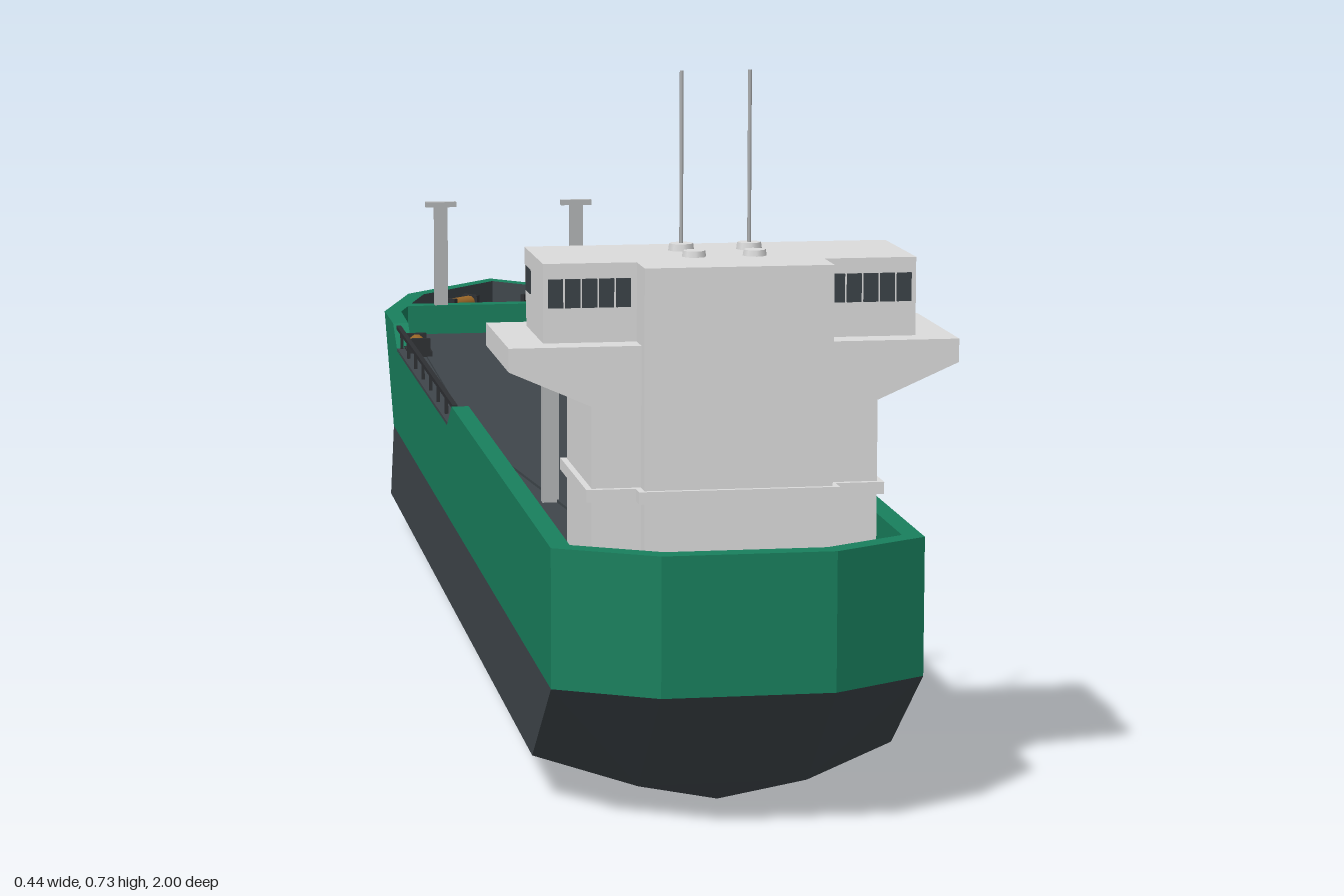
import * as THREE from 'three';

const mat = (name, color) => {
  const m = new THREE.MeshStandardMaterial({ color });
  m.name = name;
  return m;
};

export function createModel() {
  const ship = new THREE.Group();
  ship.name = 'cargoShip';
  const green = mat('hullGreen', 0x187f5d);
  const dark = mat('darkGrey', 0x3f464b);
  const white = mat('houseGrey', 0xdcdcdc);
  const glass = mat('windowDark', 0x3b4247);
  const orange = mat('winchOrange', 0x9c6828);
  const railMat = mat('railDark', 0x2e3033);
  const steel = mat('mastGrey', 0xb2b4b5);

  const add = (name, geo, m, x = 0, y = 0, z = 0, parent = ship) => {
    const mesh = new THREE.Mesh(geo, m);
    mesh.name = name;
    mesh.position.set(x, y, z);
    parent.add(mesh);
    return mesh;
  };
  // Box given by its limits on each axis
  const box = (name, m, x0, x1, y0, y1, z0, z1, parent) =>
    add(name, new THREE.BoxGeometry(x1 - x0, y1 - y0, z1 - z0), m,
      (x0 + x1) / 2, (y0 + y1) / 2, (z0 + z1) / 2, parent);

  // Skin over half cross-sections running stern to bow, mirrored in x
  const loft = (name, rows, m) => {
    const p = [];
    const tri = (a, b, c) => {
      p.push(...a, ...b, ...c);
      for (const [x, y, z] of [a, c, b]) p.push(-x, y, z);
    };
    for (let i = 0; i < rows.length - 1; i++)
      for (let j = 0; j < rows[i].length - 1; j++) {
        const [a, b, c, d] = [rows[i][j], rows[i + 1][j], rows[i + 1][j + 1], rows[i][j + 1]];
        tri(a, b, c);
        tri(a, c, d);
      }
    const g = new THREE.BufferGeometry();
    g.setAttribute('position', new THREE.Float32BufferAttribute(p, 3));
    g.computeVertexNormals();
    return add(name, g, m);
  };

  // Horizontal plate from half an outline of [x, z] points
  const plate = (name, half, y0, y1, m) => {
    const full = [...half, ...half.map(([x, z]) => [-x, z]).reverse()];
    const shape = new THREE.Shape(full.map(([x, z]) => new THREE.Vector2(x, -z)));
    const g = new THREE.ExtrudeGeometry(shape, { depth: y1 - y0, bevelEnabled: false });
    g.rotateX(-Math.PI / 2);
    return add(name, g, m, 0, y0, 0);
  };

  // Lower hull: keel, chine, shoulder and ridge of each section
  const section = (kY, kZ, cX, cY, cZ, tX, tY, tZ, rY = tY, rZ = tZ) =>
    [[0, kY, kZ], [cX, cY, cZ], [tX, tY, tZ], [0, rY, rZ]];
  loft('lowerHull', [
    section(0, 0.835, 0, 0.024, 0.865, 0, 0.145, 1),
    section(0, 0.835, 0.085, 0.024, 0.865, 0.085, 0.145, 1),
    section(0, 0.83, 0.183, 0.045, 0.81, 0.183, 0.145, 0.945),
    section(0, -0.65, 0.183, 0.045, -0.6, 0.183, 0.145, -0.555),
    section(0, -0.8, 0.115, 0.045, -0.8, 0.102, 0.145, -0.8),
    section(0.022, -0.9, 0.07, 0.048, -0.9, 0.06, 0.122, -0.9, 0.145, -0.905),
    section(0.038, -0.965, 0.038, 0.05, -0.973, 0.03, 0.1, -0.97, 0.106, -0.967),
    section(0.045, -1, 0.006, 0.05, -1, 0.005, 0.085, -1),
    section(0.045, -1, 0, 0.05, -1, 0, 0.085, -1),
  ], dark);

  // Upper hull stations: bottom x,z; top x,z,y; inner x,z
  const DECK = 0.243, FORE = 0.251, LIP = 0.255, TOP = 0.283;
  const stations = [
    [0, 1, 0, 1, TOP, 0, 0.98],
    [0.085, 1, 0.085, 1, TOP, 0.079, 0.98],
    [0.183, 0.945, 0.183, 0.945, TOP, 0.163, 0.933],
    [0.183, 0.12, 0.183, 0.12, TOP, 0.163, 0.12],
    [0.183, 0.075, 0.183, 0.075, LIP, 0.163, 0.075],
    [0.183, -0.505, 0.183, -0.505, LIP, 0.163, -0.505],
    [0.183, -0.55, 0.183, -0.555, TOP, 0.163, -0.555],
    [0.183, -0.555, 0.183, -0.67, TOP, 0.161, -0.664],
    [0.154, -0.641, 0.165, -0.73, TOP, 0.144, -0.723],
    [0.102, -0.8, 0.133, -0.838, TOP, 0.113, -0.828],
    [0, -0.905, 0, -0.98, TOP, 0, -0.952],
  ];
  loft('upperHull', stations.map(([bx, bz, tx, tz, y, ix, iz]) =>
    [[bx, 0.145, bz], [tx, y, tz], [ix, y, iz]]), green);
  const lining = (name, from, to, m) => loft(name, stations.slice(from, to)
    .map(([, , , , y, ix, iz]) => [[ix, y, iz], [ix, DECK, iz]]), m);
  lining('aftBulwarkInside', 0, 5, green);
  lining('sillInside', 4, 6, dark);
  lining('forwardBulwarkInside', 5, 9, green);
  lining('foredeckInside', 8, 11, dark);

  // Sunken deck, its raised cover, the foredeck and its wall
  const inner = stations.slice(1, -1).map(([, , , , , x, z]) => [x, z]);
  const bowPoint = [0.001, -0.951];
  plate('deck', [...inner, bowPoint], DECK - 0.006, DECK, dark);
  plate('foredeck', [...inner.slice(-2), bowPoint], DECK, FORE, dark);
  plate('deckCover', [[0.09, 0.76], [0.155, 0.13], [0.14, -0.7]], DECK, DECK + 0.003, dark);
  box('foredeckWall', green, -0.15, 0.15, DECK, TOP, -0.737, -0.715);
  box('foredeckWallLining', dark, -0.143, 0.143, DECK, 0.281, -0.74, -0.737);

  // Low side sills and rails
  for (const s of [-1, 1]) {
    const rail = new THREE.Group();
    rail.name = 'sideRail';
    ship.add(rail);
    const x = s * 0.177;
    box('sideSill', dark, s * 0.173 - 0.01, s * 0.173 + 0.01, LIP - 0.002, LIP + 0.002, -0.505, 0.075, rail);
    box('handrail', railMat, x - 0.003, x + 0.003, 0.277, 0.282, -0.54, 0.105, rail);
    for (let i = 0; i < 7; i++) {
      const z = 0.015 - i * 0.086;
      box('railPost', railMat, x - 0.002, x + 0.002, LIP, 0.278, z - 0.0015, z + 0.0015, rail);
    }
  }

  // Flat masts with crossbars
  for (const [x, z, top] of [[-0.122, 0.508, 0.4], [0.122, 0.508, 0.4], [-0.1, -0.722, 0.425], [0.087, -0.722, 0.425]]) {
    box('mast', steel, x - 0.009, x + 0.009, DECK, top, z - 0.005, z + 0.005);
    box('mastCrossbar', steel, x - 0.021, x + 0.021, top - 0.007, top, z - 0.005, z + 0.005);
  }

  // Winches: x, deck height, z, turn
  for (const [x, y, z, turn] of [[0, FORE, -0.785, 0], [-0.058, FORE, -0.857, 0.75],
    [0.058, FORE, -0.857, -0.75], [-0.157, LIP - 0.003, -0.486, Math.PI / 2]]) {
    const winch = new THREE.Group();
    winch.name = 'winch';
    winch.position.set(x, y, z);
    winch.rotation.y = turn;
    ship.add(winch);
    box('winchBase', railMat, -0.027, 0.027, 0, 0.007, -0.016, 0.016, winch);
    const drum = add('winchDrum', new THREE.CylinderGeometry(0.01, 0.01, 0.044, 10), orange, 0, 0.013, 0, winch);
    drum.rotation.z = Math.PI / 2;
    for (const s of [-1, 1])
      box('winchCheek', railMat, s * 0.024 - 0.003, s * 0.024 + 0.003, 0, 0.024, -0.013, 0.013, winch);
  }

  // Deckhouse and stair tower
  box('deckhouse', white, -0.14, 0.14, DECK, 0.42, 0.757, 0.922);
  box('stairTower', white, -0.092, 0.092, DECK, 0.55, 0.8, 0.942);
  box('deckhouseBand', white, -0.146, 0.146, 0.323, 0.335, 0.751, 0.928);
  box('towerBand', white, -0.098, 0.098, 0.323, 0.335, 0.9, 0.947);

  // Bridge wings with sloping undersides
  const wing = new THREE.Shape([[-0.22, 0.473], [-0.22, 0.45], [-0.14, 0.415], [0.14, 0.415], [0.22, 0.45], [0.22, 0.473]]
    .map(([x, y]) => new THREE.Vector2(x, y)));
  add('bridgeWings', new THREE.ExtrudeGeometry(wing, { depth: 0.175, bevelEnabled: false }), white, 0, 0, 0.748);

  // Wheelhouse with its forward face leaning out
  const side = new THREE.Shape([[-0.895, 0.473], [-0.775, 0.473], [-0.76, 0.55], [-0.895, 0.55]]
    .map(([x, y]) => new THREE.Vector2(x, y)));
  const house = new THREE.ExtrudeGeometry(side, { depth: 0.366, bevelEnabled: false });
  house.rotateY(Math.PI / 2);
  add('wheelhouse', house, white, -0.183, 0, 0);

  // Window panes
  for (let i = 0; i < 19; i++) {
    const pane = add('frontWindow', new THREE.BoxGeometry(0.0155, 0.027, 0.004), glass, (i - 9) * 0.0188, 0.521, 0.766);
    pane.rotation.x = -0.19;
  }
  for (const s of [-1, 1]) {
    for (let i = 0; i < 5; i++)
      add('backWindow', new THREE.BoxGeometry(0.0145, 0.028, 0.004), glass, s * (0.105 + i * 0.0165), 0.521, 0.895);
    for (let i = 0; i < 2; i++)
      add('sideWindow', new THREE.BoxGeometry(0.002, 0.024, 0.015), glass, s * 0.183, 0.521, 0.782 + i * 0.018);
    // Roof aerials and vents
    add('aerialBase', new THREE.CylinderGeometry(0.012, 0.013, 0.007, 8), white, s * 0.034, 0.5535, 0.81);
    add('aerial', new THREE.CylinderGeometry(0.002, 0.002, 0.177, 6), steel, s * 0.034, 0.6385, 0.81);
    add('roofVent', new THREE.CylinderGeometry(0.011, 0.012, 0.006, 8), white, s * 0.03, 0.553, 0.86);
  }
  return ship;
}
